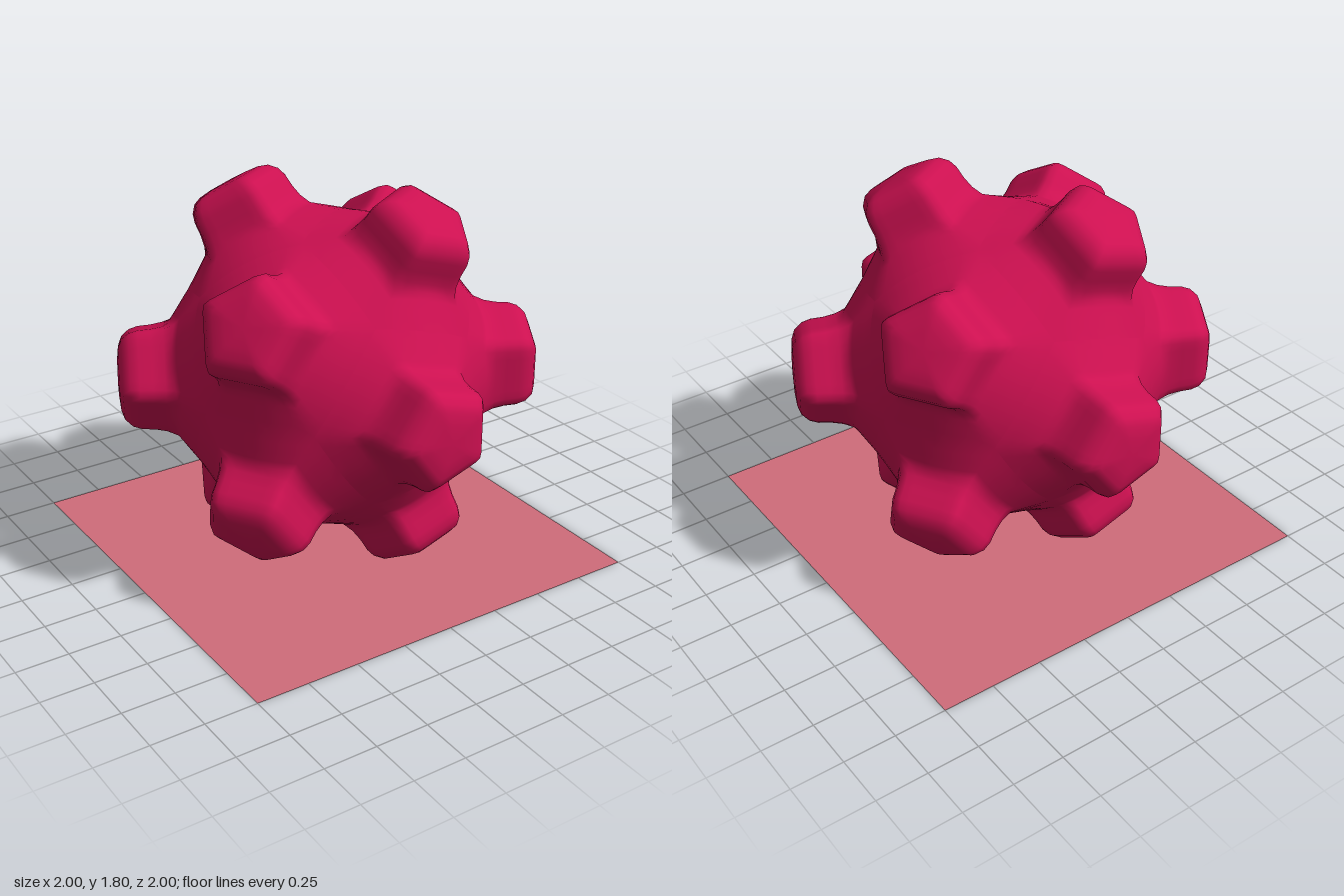
import * as THREE from 'three';
import { mergeVertices } from 'three/addons/utils/BufferGeometryUtils.js';

const EDGE_STEPS = 8; // subdivisions along each pentagon side

// Knob profile from tip to base: [corner radius, height along the axis]
const KNOB = [[0.1, 0.969], [0.17, 0.962], [0.215, 0.947], [0.25, 0.912], [0.265, 0.87], [0.27, 0.81], [0.282, 0.755]];
// Flare running out into the ball: [corner radius / height, distance from centre]
const FLARE = [[0.42, 0.763], [0.48, 0.754], [0.56, 0.746], [0.66, 0.74], [0.764, 0.737]];

// Twelve evenly spread knob axes: the two poles on z plus two staggered rings of five
function knobAxes() {
  const axes = [new THREE.Vector3(0, 0, 1), new THREE.Vector3(0, 0, -1)];
  const z = 1 / Math.sqrt(5);
  for (let i = 0; i < 5; i++) {
    const a = (i * Math.PI * 2) / 5;
    axes.push(new THREE.Vector3(2 * z * Math.cos(a), 2 * z * Math.sin(a), z));
    axes.push(new THREE.Vector3(-2 * z * Math.cos(a), -2 * z * Math.sin(a), -z));
  }
  return axes;
}

// Outline of a unit pentagon with subdivided sides; sides face the neighbouring knobs
function pentagon() {
  const corner = (k) => new THREE.Vector2(Math.cos((k * 2 + 1) * Math.PI / 5), Math.sin((k * 2 + 1) * Math.PI / 5));
  const points = [];
  for (let k = 0; k < 5; k++) {
    for (let s = 0; s < EDGE_STEPS; s++) points.push(corner(k).lerp(corner(k + 1), s / EDGE_STEPS));
  }
  return points;
}

// One five-sided patch per axis (knob, flare and its share of the ball), welded together
function knobbedBallGeometry() {
  const axes = knobAxes();
  const outline = pentagon();
  const n = outline.length;
  const positions = [];
  const indices = [];

  for (const axis of axes) {
    const neighbour = axes.find((b) => axis.dot(b) > 0.4 && axis.dot(b) < 0.5);
    const u = neighbour.clone().addScaledVector(axis, -axis.dot(neighbour)).normalize();
    const v = axis.clone().cross(u);
    const place = (p, radius, height) => axis.clone().multiplyScalar(height)
      .addScaledVector(u, p.x * radius).addScaledVector(v, p.y * radius);

    const rings = [
      ...KNOB.map(([r, h]) => outline.map((p) => {
        // corners are drawn in a little, as on a softened prism
        const soft = 1 - 0.035 * Math.max(0, (p.length() - 0.94) / 0.06);
        return place(p, r * soft, h);
      })),
      ...FLARE.map(([g, d]) => outline.map((p) => place(p, g, 1).setLength(d))),
    ];

    const start = positions.length / 3;
    positions.push(...axis.clone().multiplyScalar(0.971).toArray());
    for (const ring of rings) for (const p of ring) positions.push(p.x, p.y, p.z);

    const at = (k, j) => start + 1 + k * n + (j % n);
    for (let j = 0; j < n; j++) {
      indices.push(start, at(0, j), at(0, j + 1));
      for (let k = 0; k < rings.length - 1; k++) {
        indices.push(at(k, j), at(k + 1, j), at(k + 1, j + 1));
        indices.push(at(k, j), at(k + 1, j + 1), at(k, j + 1));
      }
    }
  }

  const geometry = new THREE.BufferGeometry();
  geometry.setAttribute('position', new THREE.Float32BufferAttribute(positions, 3));
  geometry.setIndex(indices);
  const welded = mergeVertices(geometry, 1e-4);
  welded.computeVertexNormals();
  return welded;
}

export function createModel() {
  const model = new THREE.Group();
  model.name = 'knobbedBallOnGround';

  // Ball with twelve pentagonal knobs
  const ball = new THREE.Mesh(knobbedBallGeometry(), new THREE.MeshStandardMaterial({ color: 0xcc1050 }));
  ball.name = 'knobbedBall';
  ball.position.y = 0.9;
  model.add(ball);

  // Flat square ground sheet
  const ground = new THREE.Mesh(
    new THREE.PlaneGeometry(2, 2),
    new THREE.MeshStandardMaterial({ color: 0xd06c7b, side: THREE.DoubleSide }),
  );
  ground.name = 'groundSheet';
  ground.rotation.x = -Math.PI / 2;
  model.add(ground);

  return model;
}
